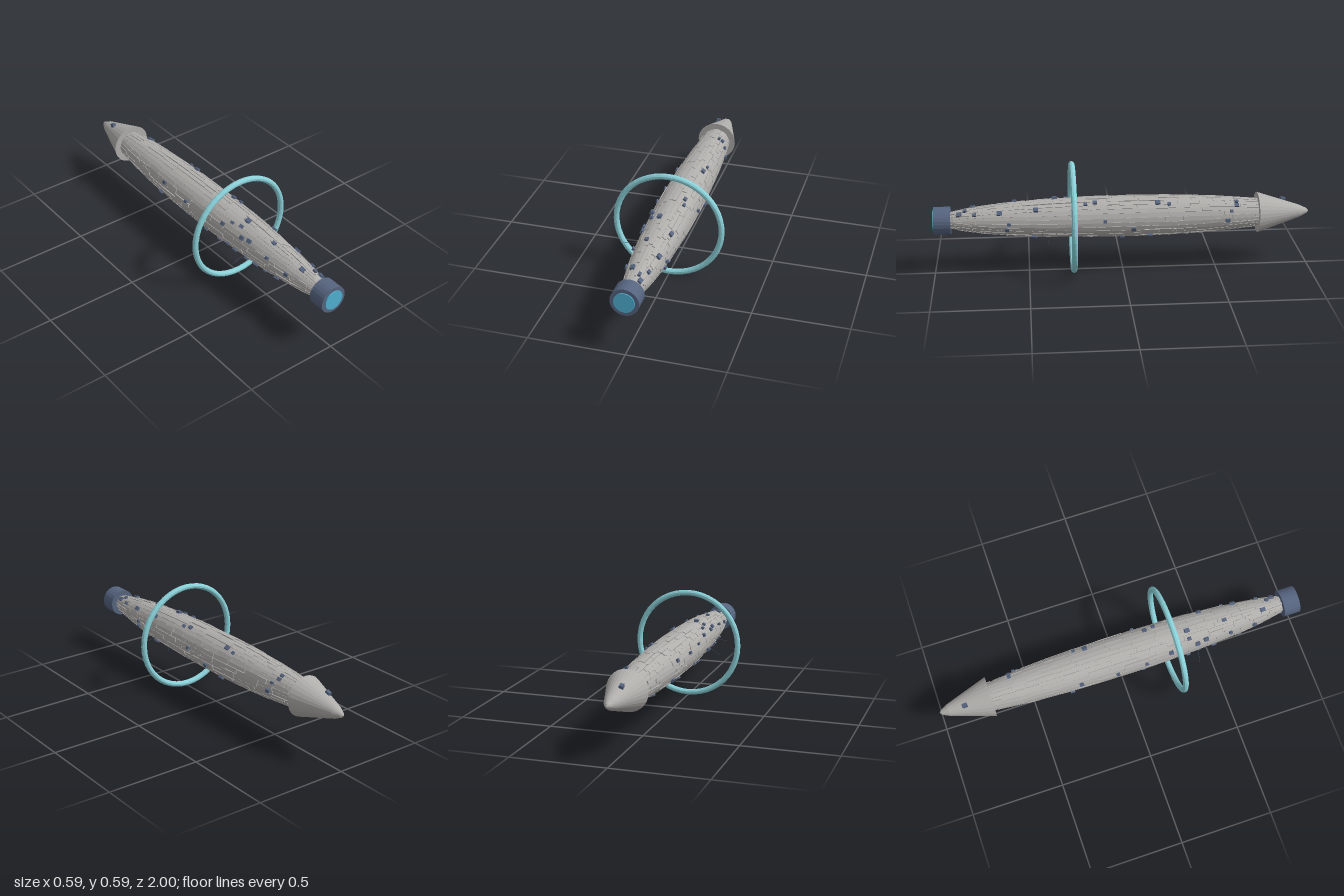
import * as THREE from 'three';
import { mergeGeometries } from 'three/addons/utils/BufferGeometryUtils.js';

const AXIS_Y = 0.299;

function makeRandom(seed) {
  return () => (seed = (seed * 16807) % 2147483647) / 2147483647;
}

// hull radius at a station along z
const hullRadius = (z) => 0.105 * Math.sqrt(Math.max(0, 1 - (z / 0.97) ** 2));

// frame on the hull skin: x runs around, y points out, z runs along
function skinFrame(z, angle, lift = 0) {
  const slope = (hullRadius(z + 0.01) - hullRadius(z - 0.01)) / 0.02;
  const c = Math.cos(angle), s = Math.sin(angle);
  const around = new THREE.Vector3(s, -c, 0);
  const along = new THREE.Vector3(slope * c, slope * s, 1).normalize();
  const out = along.clone().cross(around);
  const r = hullRadius(z) + lift;
  return new THREE.Matrix4().makeBasis(around, out, along).setPosition(c * r, s * r, z);
}

// small blocks on the skin: [z, angle in degrees]
const BLOCKS = [
  [-0.6, 45], [-0.6, 60], [-0.55, -5], [-0.57, 25], [-0.24, 50], [-0.18, 55], [-0.25, 160],
  [-0.05, 165], [-0.05, -20], [0.1, 5], [0.11, 160], [0.15, 60], [0.2, 55], [0.36, 100],
  [0.36, 125], [0.3, 132], [0.46, 45], [0.57, 103], [0.59, 155], [0.65, 40], [0.73, 165],
  [0.79, 110], [0.78, 40], [0.83, 68], [0.86, 50], [0.61, -20], [0.6, 0], [0.47, -55],
  [-0.14, -50], [0.5, 215], [0.42, 225], [0.35, 210], [0.3, 200], [0.55, 235], [0.2, 230],
  [0.1, 220], [-0.1, 240], [-0.3, 210], [0.65, 220], [0.4, 150], [0.45, 145], [0.25, 150],
  [-0.45, 250], [0, 270], [0.7, 260],
];

// thin rods: [start, end] around the hull axis
const ANTENNAS = [
  [[-0.09, -0.014, 0.45], [-0.175, -0.021, 0.455]],
  [[-0.08, -0.055, 0.41], [-0.145, -0.09, 0.4]],
  [[0.085, -0.03, 0.42], [0.138, -0.049, 0.43]],
  [[0.028, -0.09, 0.39], [0.038, -0.145, 0.4]],
];

export function createModel() {
  const model = new THREE.Group();
  const ship = new THREE.Group();
  ship.name = 'ship';
  ship.position.y = AXIS_Y;
  model.add(ship);

  const material = (name, color) => {
    const m = new THREE.MeshStandardMaterial({ color, flatShading: true });
    m.name = name;
    return m;
  };
  const hullGrey = material('hull grey', 0xb0aeab);
  const slate = material('slate blue', 0x56647f);
  const glow = material('engine cyan', 0x50b0d2);
  const ringTeal = material('ring teal', 0x8ad0d8);
  const dark = material('antenna dark', 0x3c4454);

  const add = (name, geometry, mat) => {
    const mesh = new THREE.Mesh(geometry, mat);
    mesh.name = name;
    ship.add(mesh);
    return mesh;
  };
  // revolve [radius, z] points about the z axis
  const revolve = (points, sides) =>
    new THREE.LatheGeometry(points.map(([r, z]) => new THREE.Vector2(r, z)), sides).rotateX(Math.PI / 2);

  // hull core
  const profile = [];
  for (let i = 0; i <= 28; i++) {
    const z = -0.84 + (1.77 * i) / 28;
    profile.push([hullRadius(z), z]);
  }
  add('hull', revolve(profile, 28), hullGrey);

  // staggered armour plates in long rows
  const random = makeRandom(4711);
  const plates = [];
  const rows = 28;
  for (let row = 0; row < rows; row++) {
    const angle = ((row + 0.5) / rows) * Math.PI * 2;
    let z = -0.84 + random() * 0.08;
    while (z < 0.88) {
      const length = Math.min(0.06 + random() * 0.12, 0.92 - z);
      const mid = z + length / 2;
      const width = ((2 * Math.PI * hullRadius(mid)) / rows) * (0.8 + random() * 0.4);
      const plate = new THREE.BoxGeometry(width, 0.006, length * 0.97);
      plates.push(plate.applyMatrix4(skinFrame(mid, angle + (random() - 0.5) * 0.06, random() * 0.0035 - 0.001)));
      z += length;
    }
  }
  add('hullPlates', mergeGeometries(plates), hullGrey);

  // nose cone with a flat back
  add('noseCone', revolve([[0, -1], [0.013, -0.99], [0.033, -0.95], [0.108, -0.72], [0, -0.72]], 28), hullGrey);

  // engine housing and glowing disc
  add('engineHousing', new THREE.CylinderGeometry(0.073, 0.073, 0.089, 24).rotateX(Math.PI / 2).translate(0, 0, 0.9505), slate);
  add('engineGlow', new THREE.CylinderGeometry(0.053, 0.053, 0.009, 32).rotateX(Math.PI / 2).translate(0, 0, 0.9955), glow);

  // free-floating ring
  add('ring', new THREE.TorusGeometry(0.281, 0.0155, 10, 48).translate(0, 0, 0.265), ringTeal);

  // surface blocks, plus one on the nose
  const blocks = BLOCKS.map(([z, degrees]) => {
    const size = 0.013 + random() * 0.009;
    return new THREE.BoxGeometry(size, 0.018, size * 1.25)
      .applyMatrix4(skinFrame(z, THREE.MathUtils.degToRad(degrees), 0.006));
  });
  blocks.push(new THREE.BoxGeometry(0.02, 0.02, 0.026).rotateX(-0.3).translate(-0.024, 0.061, -0.862));
  add('surfaceBlocks', mergeGeometries(blocks), slate);

  // antennas
  for (const [start, end] of ANTENNAS) {
    const path = new THREE.LineCurve3(new THREE.Vector3(...start), new THREE.Vector3(...end));
    add('antenna', new THREE.TubeGeometry(path, 1, 0.0013, 6), dark);
  }

  return model;
}
